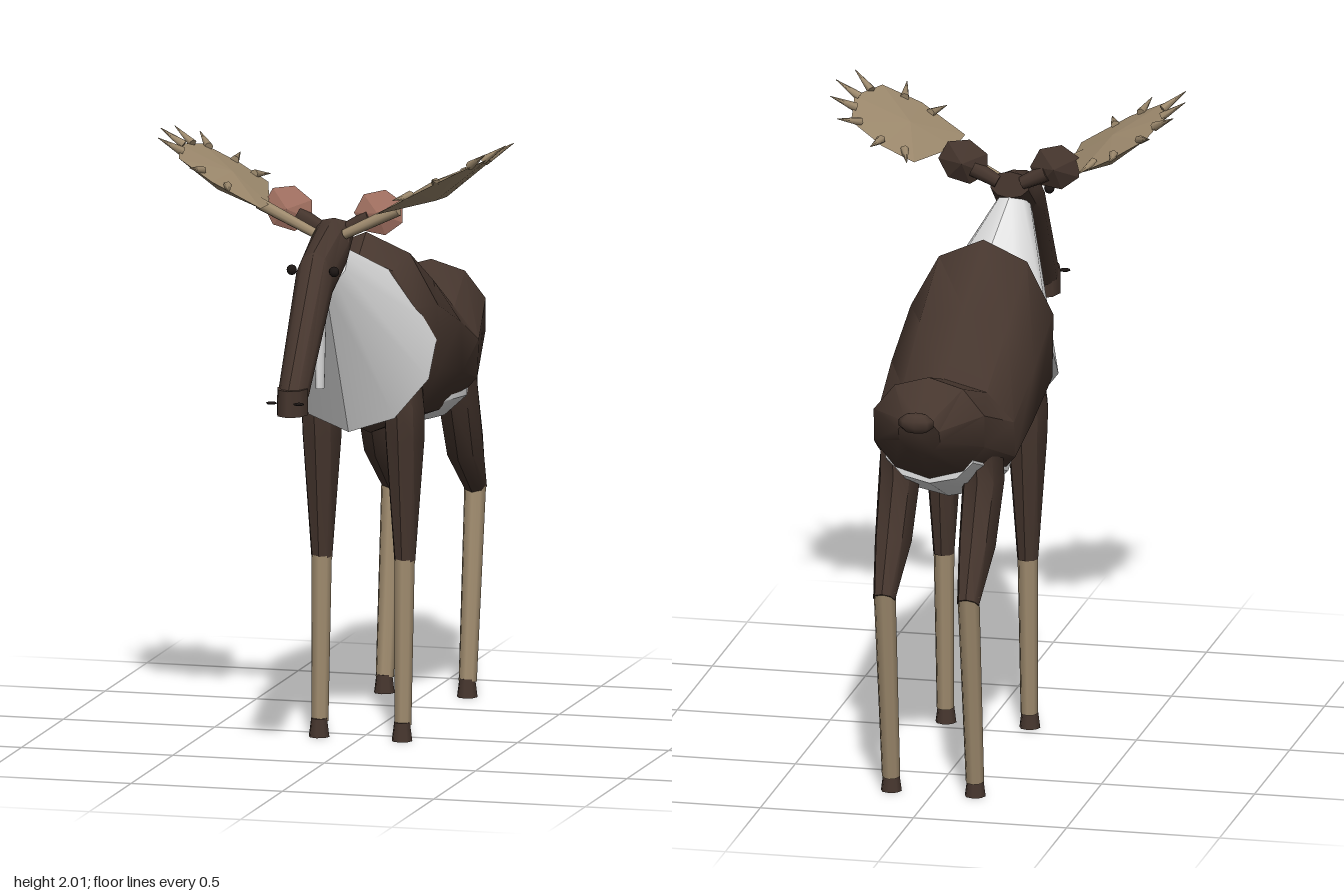
import * as THREE from 'three';
import { toCreasedNormals } from 'three/addons/utils/BufferGeometryUtils.js';
import { ConvexGeometry } from 'three/addons/geometries/ConvexGeometry.js';

const V = (x, y, z) => new THREE.Vector3(x, y, z);
const material = (name, color, side = THREE.FrontSide) => {
  const m = new THREE.MeshStandardMaterial({ color, side });
  m.name = name;
  return m;
};

// Elliptic rings [topZ, topY, bottomZ, bottomY, halfWidth], capped at both ends
function loft(rings, sides = 10) {
  const pos = [], index = [];
  for (const [tz, ty, bz, by, w] of rings) {
    for (let j = 0; j < sides; j++) {
      const a = (j / sides) * Math.PI * 2, c = Math.cos(a) / 2;
      pos.push(Math.sin(a) * w, (ty + by) / 2 + c * (ty - by), (tz + bz) / 2 + c * (tz - bz));
    }
  }
  const last = rings.length - 1;
  const centre = (r) => pos.push(0, (r[1] + r[3]) / 2, (r[0] + r[2]) / 2) / 3 - 1;
  const start = centre(rings[0]), end = centre(rings[last]);
  for (let j = 0; j < sides; j++) {
    const k = (j + 1) % sides;
    for (let i = 0; i < last; i++) {
      const p = i * sides, q = p + sides;
      index.push(p + j, p + k, q + j, p + k, q + k, q + j);
    }
    index.push(start, k, j, end, last * sides + j, last * sides + k);
  }
  const g = new THREE.BufferGeometry();
  g.setAttribute('position', new THREE.Float32BufferAttribute(pos, 3));
  g.setIndex(index);
  return toCreasedNormals(g, 0.7);
}

// Tapered rod between two points
function rod(a, b, ra, rb, sides = 8) {
  const d = b.clone().sub(a);
  const g = new THREE.CylinderGeometry(rb, ra, d.length(), sides);
  g.applyQuaternion(new THREE.Quaternion().setFromUnitVectors(V(0, 1, 0), d.normalize()));
  g.translate((a.x + b.x) / 2, (a.y + b.y) / 2, (a.z + b.z) / 2);
  return g;
}

export function createModel() {
  const model = new THREE.Group();
  model.name = 'moose';
  const brown = material('dark brown fur', 0x46362e);
  const white = material('white fur', 0xe4e4e4);
  const tan = material('tan', 0xa08c6f);
  const pink = material('pink inner ear', 0xa87565);
  const black = material('black', 0x1c1614);
  const add = (name, geometry, mat, x = 0, y = 0, z = 0) => {
    const m = new THREE.Mesh(geometry, mat);
    m.name = name;
    m.position.set(x, y, z);
    model.add(m);
    return m;
  };

  // Trunk, pale belly and neck ruff
  add('body', loft([
    [0.1, 1.49, 0.08, 1.2, 0.13],
    [0.085, 1.57, 0.04, 1.08, 0.19],
    [0, 1.63, -0.05, 0.97, 0.245],
    [-0.28, 1.48, -0.32, 0.95, 0.245],
    [-0.56, 1.33, -0.5, 0.94, 0.235],
    [-0.78, 1.4, -0.77, 1.06, 0.19],
    [-0.945, 1.31, -0.89, 1.18, 0.07],
  ]), brown);
  add('belly', loft([
    [-0.15, 1.2, -0.2, 0.965, 0.08],
    [-0.36, 1.2, -0.36, 0.94, 0.19],
    [-0.5, 1.2, -0.5, 0.925, 0.205],
    [-0.78, 1.27, -0.77, 1.045, 0.15],
  ]), white);
  add('neckRuff', loft([
    [0.39, 1.67, 0.49, 1.55, 0.06],
    [-0.18, 1.48, 0.21, 1.02, 0.24],
  ]), white);
  const tail = add('tail', new THREE.SphereGeometry(1, 8, 5), brown, 0, 1.3, -0.96);
  tail.scale.set(0.06, 0.035, 0.032);

  // Head, muzzle and dewlap
  add('head', loft([
    [0.93, 1.28, 0.81, 1.24, 0.048],
    [0.625, 1.678, 0.605, 1.485, 0.062],
    [0.42, 1.74, 0.49, 1.555, 0.068],
    [0.38, 1.745, 0.37, 1.66, 0.065],
  ]), brown);
  const muzzle = add('muzzle', new THREE.CylinderGeometry(0.066, 0.068, 0.085, 8), brown, 0, 1.242, 0.878);
  muzzle.scale.x = 0.76;
  const dewlap = add('dewlap', new THREE.CylinderGeometry(0.035, 0.024, 0.27, 8), white, 0, 1.36, 0.55);
  dewlap.scale.x = 0.6;

  // Antler outline as [x, z] points, with spike tips around its rim
  const outline = [[0.27, 0.19], [0.37, 0.17], [0.48, 0.21], [0.51, 0.39],
    [0.46, 0.57], [0.34, 0.61], [0.19, 0.57], [0.195, 0.45]];
  const tips = [[0.28, 0.13], [0.39, 0.09], [0.51, 0.14], [0.56, 0.26],
    [0.57, 0.39], [0.54, 0.53], [0.4, 0.66], [0.27, 0.66]];
  const onPlane = (s, [x, z], lift = 0) =>
    V(s * x, 1.79 + 0.55 * (x - 0.2) + 0.08 * (z - 0.38) + lift, z);

  for (const s of [1, -1]) {
    const side = s > 0 ? 'left' : 'right';

    // Eyes and nostrils
    add(side + 'Eye', new THREE.SphereGeometry(0.017, 8, 6), black, s * 0.07, 1.62, 0.635);
    const nostril = add(side + 'Nostril', new THREE.SphereGeometry(0.018, 8, 6), black, s * 0.045, 1.25, 0.967);
    nostril.scale.y = 0.25;

    // Ears: pink front, brown back
    for (const [name, dir, mat, h] of [['InnerEar', 1, pink, 0.025], ['OuterEar', -1, brown, 0.035]]) {
      const g = new THREE.ConeGeometry(1, 1, 7, 1, true);
      g.translate(0, 0.5, 0).rotateX(dir * Math.PI / 2).rotateZ(s > 0 ? 0 : Math.PI);
      const ear = add(side + name, toCreasedNormals(g, 0.3), mat, s * 0.15, 1.77, 0.38);
      ear.scale.set(0.085, 0.075, h);
      ear.rotation.z = s * 0.25;
    }
    add(side + 'EarStem', rod(V(s * 0.04, 1.71, 0.38), V(s * 0.12, 1.75, 0.38), 0.022, 0.03), brown);

    // Antlers
    add(side + 'AntlerStem', rod(V(s * 0.05, 1.705, 0.44), V(s * 0.23, 1.795, 0.45), 0.016, 0.02), tan);
    add(side + 'AntlerPalm', new ConvexGeometry([
      ...outline.map((p) => onPlane(s, p)),
      onPlane(s, [0.33, 0.4], 0.02),
      onPlane(s, [0.35, 0.3], -0.05),
      onPlane(s, [0.36, 0.47], -0.05),
    ]), tan);
    tips.forEach((p, i) => {
      const tip = onPlane(s, p, 0.015);
      const base = tip.clone().lerp(onPlane(s, [0.36, 0.39], -0.01), 0.36);
      add(side + 'AntlerSpike' + (i + 1), rod(base, tip, 0.015, 0.001, 6), tan);
    });

    // Front legs
    const x = s * 0.137;
    add(side + 'FrontUpperLeg', loft([
      [-0.07, 1.2, 0.12, 1.17, 0.05],
      [-0.06, 1.05, 0.135, 1.1, 0.066],
      [-0.055, 0.97, 0.115, 0.97, 0.064],
      [-0.002, 0.57, 0.068, 0.57, 0.034],
    ], 8), brown, x);
    add(side + 'FrontLowerLeg', rod(V(x, 0.6, 0.035), V(x, 0.05, 0.055), 0.034, 0.028), tan);
    add(side + 'FrontHoof', new THREE.CylinderGeometry(0.026, 0.034, 0.06, 8), brown, x, 0.03, 0.065);

    // Hind legs
    add(side + 'Thigh', loft([
      [-0.72, 1.2, -0.45, 1.12, 0.06],
      [-0.69, 1.03, -0.5, 1.01, 0.068],
      [-0.77, 0.86, -0.605, 0.785, 0.06],
      [-0.852, 0.69, -0.785, 0.64, 0.036],
    ], 8), brown, x);
    add(side + 'HindLowerLeg', rod(V(x, 0.69, -0.812), V(x, 0.05, -0.72), 0.036, 0.03), tan);
    add(side + 'HindHoof', new THREE.CylinderGeometry(0.026, 0.034, 0.06, 8), brown, x, 0.03, -0.715);
  }
  return model;
}
